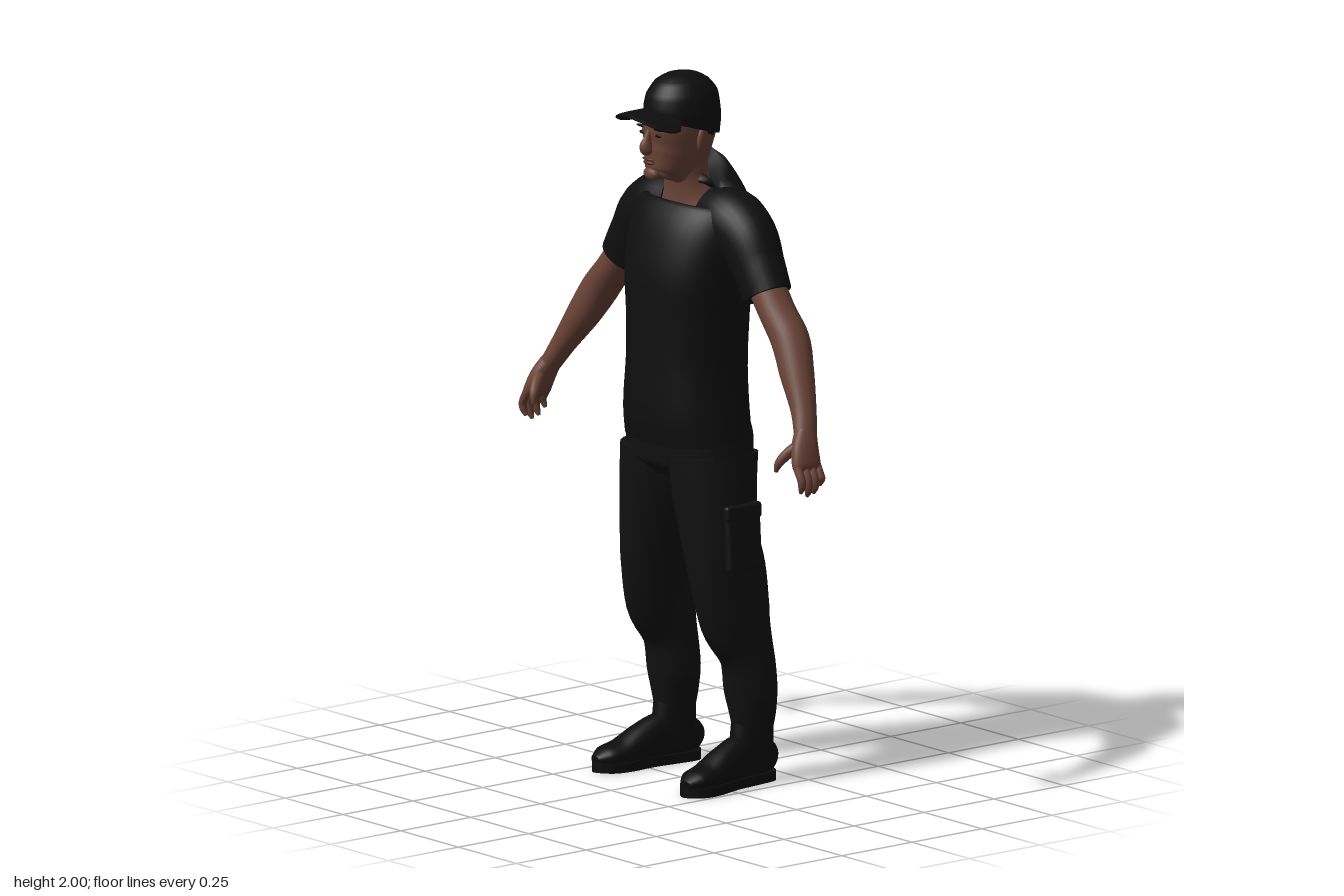
import * as THREE from 'three';
import { RoundedBoxGeometry } from 'three/addons/geometries/RoundedBoxGeometry.js';

const mat = (name, color) => Object.assign(new THREE.MeshStandardMaterial({ color }), { name });
const X = new THREE.Vector3(1, 0, 0), Y = new THREE.Vector3(0, 1, 0), Z = new THREE.Vector3(0, 0, 1);

// Smooth skin over cross-sections [x, y, z, radiusA, radiusB, tilt]; tilt lowers the radiusB side.
function loft(secs, { n = 28, steps = 5, up = Z, pow = 2, arc = null } = {}) {
  const path = new THREE.CatmullRomCurve3(secs.map(s => new THREE.Vector3(s[0], s[1], s[2])));
  const size = new THREE.CatmullRomCurve3(secs.map(s => new THREE.Vector3(s[3], s[4], s[5] || 0)));
  const rows = (secs.length - 1) * steps, pos = [], idx = [];
  const cols = arc ? n + 1 : n;
  const [t0, t1] = arc || [0, Math.PI * 2];
  const round = v => Math.sign(v) * Math.abs(v) ** (2 / pow);
  for (let i = 0; i <= rows; i++) {
    const p = path.getPoint(i / rows), r = size.getPoint(i / rows), d = path.getTangent(i / rows);
    const a = d.clone().cross(up).normalize(), b = a.clone().cross(d);
    for (let j = 0; j < cols; j++) {
      const t = t0 + (t1 - t0) * j / n, c = round(Math.cos(t)), s = round(Math.sin(t));
      const v = p.clone().addScaledVector(a, c * r.x).addScaledVector(b, s * r.y);
      pos.push(v.x, v.y - r.z * s, v.z);
    }
  }
  for (let i = 0; i < rows; i++) for (let j = 0; j < n; j++) {
    const k = (j + 1) % cols, a = i * cols + j, b = i * cols + k;
    idx.push(a, a + cols, b, b, a + cols, b + cols);
  }
  // Flat end caps with their own corners
  if (!arc) for (const end of [0, rows]) {
    const base = pos.length / 3, mid = [0, 0, 0];
    for (let j = 0; j < n; j++) for (let k = 0; k < 3; k++) {
      const v = pos[(end * n + j) * 3 + k];
      pos.push(v);
      mid[k] += v / n;
    }
    pos.push(...mid);
    for (let j = 0; j < n; j++) {
      const a = base + j, b = base + (j + 1) % n;
      idx.push(base + n, end ? b : a, end ? a : b);
    }
  }
  const g = new THREE.BufferGeometry();
  g.setAttribute('position', new THREE.Float32BufferAttribute(pos, 3));
  g.setIndex(idx);
  g.computeVertexNormals();
  return g;
}

export function createModel() {
  const skin = mat('skin', 0x6a4336), lipSkin = mat('lips', 0x55322a);
  const shirt = mat('shirt black', 0x0f0f10), cloth = mat('trouser black', 0x111112);
  const leather = mat('boot black', 0x0c0c0c), capCloth = mat('cap black', 0x0d0d0e), dark = mat('hair black', 0x080707);
  const root = new THREE.Group();
  const add = (name, geo, m, parent = root) => {
    const mesh = new THREE.Mesh(geo, m);
    mesh.name = name;
    parent.add(mesh);
    return mesh;
  };
  const blob = (name, m, p, s) => {
    const mesh = add(name, new THREE.SphereGeometry(1, 20, 14), m);
    mesh.position.set(...p);
    mesh.scale.set(...s);
    return mesh;
  };
  const flip = (secs, s) => secs.map(([x, ...rest]) => [x * s, ...rest]);

  // Shirt body and trouser seat
  add('shirtBody', loft([
    [0, 0.975, -0.027, 0.198, 0.143], [0, 1.05, -0.02, 0.188, 0.15], [0, 1.2, -0.022, 0.172, 0.152],
    [0, 1.32, -0.025, 0.177, 0.153], [0, 1.43, -0.028, 0.19, 0.153], [0, 1.53, -0.04, 0.2, 0.14],
    [0, 1.6, -0.055, 0.197, 0.12], [0, 1.65, -0.062, 0.165, 0.095, 0.012],
    [0, 1.685, -0.048, 0.105, 0.078, 0.03], [0, 1.68, -0.04, 0.075, 0.062, 0.03],
  ], { n: 40, pow: 2.3 }), shirt);
  add('trouserSeat', loft([
    [0, 0.86, -0.027, 0.12, 0.09], [0, 0.9, -0.03, 0.2, 0.135],
    [0, 0.97, -0.032, 0.197, 0.146], [0, 1.03, -0.027, 0.18, 0.135],
  ], { n: 36, pow: 2.3 }), cloth);

  // Neck and head
  add('neck', loft([
    [0, 1.63, -0.035, 0.1, 0.075, 0.025], [0, 1.675, -0.027, 0.074, 0.066, 0.02],
    [0, 1.72, -0.018, 0.062, 0.062], [0, 1.8, -0.01, 0.062, 0.07],
  ]), skin);
  add('head', loft([
    [0, 1.702, 0.05, 0.03, 0.045, 0.008], [0, 1.715, 0.04, 0.05, 0.074, 0.008], [0, 1.735, 0.033, 0.06, 0.085, 0.005],
    [0, 1.765, 0.022, 0.07, 0.096], [0, 1.8, 0.012, 0.077, 0.103], [0, 1.85, 0.005, 0.084, 0.112], [0, 1.91, 0, 0.083, 0.1],
  ], { pow: 2.2 }), skin);
  add('nose', loft([
    [0, 1.786, 0.113, 0.011, 0.01], [0, 1.795, 0.122, 0.017, 0.018], [0, 1.806, 0.124, 0.015, 0.02],
    [0, 1.825, 0.118, 0.01, 0.014], [0, 1.85, 0.112, 0.008, 0.008],
  ], { n: 16 }), skin);
  blob('upperLip', lipSkin, [0, 1.768, 0.115], [0.025, 0.005, 0.008]);
  blob('lowerLip', lipSkin, [0, 1.758, 0.114], [0.022, 0.006, 0.009]);
  blob('chin', skin, [0, 1.726, 0.105], [0.028, 0.018, 0.016]);
  add('napeHair', loft([
    [0, 1.755, -0.058, 0.014, 0.02], [0, 1.785, -0.047, 0.045, 0.047],
    [0, 1.82, -0.038, 0.073, 0.065], [0, 1.86, -0.03, 0.088, 0.08],
  ]), dark);

  // Cap
  add('capCrown', loft([
    [0, 1.848, -0.005, 0.096, 0.108, -0.032], [0, 1.89, -0.005, 0.1, 0.112, -0.012], [0, 1.94, -0.005, 0.092, 0.104],
    [0, 1.975, -0.005, 0.07, 0.079], [0, 1.993, -0.005, 0.04, 0.046], [0, 1.999, -0.005, 0.006, 0.007],
  ], { n: 36 }), capCloth);
  const brim = [];
  for (let i = -6; i <= 6; i++) {
    const u = i / 6, front = 0.075 + 0.124 * Math.sqrt(1 - 0.97 * u * u);
    brim.push([u * 0.088, 1.901 - 0.03 * u * u, (front + 0.05) / 2, 0.007, (front - 0.05) / 2]);
  }
  add('capBrim', loft(brim, { n: 20, steps: 2, pow: 2.5 }), capCloth);
  blob('capButton', capCloth, [0, 1.996, -0.005], [0.01, 0.004, 0.01]);

  const armSecs = [
    [0.29, 1.45, -0.06, 0.05, 0.055], [0.35, 1.375, -0.055, 0.048, 0.054], [0.41, 1.305, -0.053, 0.052, 0.055],
    [0.46, 1.225, -0.035, 0.047, 0.049], [0.52, 1.13, -0.01, 0.033, 0.037], [0.555, 1.065, 0.012, 0.025, 0.034],
  ];
  for (const s of [1, -1]) {
    const side = s > 0 ? 'left' : 'right';
    const part = (name, secs, m, opts) => add(side + name, loft(flip(secs, s), opts), m);

    // Face details
    blob(side + 'Eye', dark, [s * 0.034, 1.838, 0.109], [0.012, 0.005, 0.004]);
    blob(side + 'Brow', dark, [s * 0.036, 1.856, 0.111], [0.021, 0.004, 0.004]);
    blob(side + 'Ear', skin, [s * 0.086, 1.822, -0.006], [0.011, 0.036, 0.021]).rotation.set(-0.15, s * 0.35, 0);

    // Sleeve and arm
    part('Sleeve', [
      [0.07, 1.6, -0.065, 0.085, 0.08], [0.15, 1.585, -0.065, 0.097, 0.092], [0.215, 1.55, -0.063, 0.09, 0.083],
      [0.262, 1.487, -0.06, 0.078, 0.073], [0.305, 1.413, -0.057, 0.076, 0.066],
    ], shirt);
    part('Arm', armSecs, skin);

    // Hand
    part('Palm', [
      [0.55, 1.08, 0.008, 0.024, 0.032], [0.568, 1.035, 0.025, 0.025, 0.042],
      [0.583, 0.995, 0.032, 0.021, 0.046], [0.588, 0.98, 0.033, 0.012, 0.042],
    ], skin, { pow: 2.4 });
    for (let i = 0; i < 4; i++) {
      const z = -0.003 + 0.023 * i, drop = [0.025, 0.006, 0, 0.012][i];
      part('Finger' + (i + 1), [
        [0.58, 1.0, z, 0.013, 0.012], [0.603, 0.96, z, 0.012, 0.012],
        [0.603, 0.93 + drop, z - 0.002, 0.011, 0.011], [0.594, 0.911 + drop, z - 0.004, 0.005, 0.005],
      ], skin, { n: 12 });
    }
    part('Thumb', [
      [0.562, 1.055, 0.03, 0.016, 0.018], [0.543, 1.025, 0.068, 0.015, 0.016],
      [0.53, 0.998, 0.088, 0.012, 0.012], [0.524, 0.975, 0.093, 0.005, 0.006],
    ], skin, { n: 12 });

    // Trouser leg with side pocket
    part('TrouserLeg', [
      [0.168, 0.14, -0.118, 0.045, 0.06], [0.168, 0.2, -0.118, 0.058, 0.07], [0.166, 0.27, -0.112, 0.074, 0.075],
      [0.166, 0.36, -0.1, 0.068, 0.08], [0.16, 0.47, -0.063, 0.07, 0.112], [0.147, 0.6, -0.045, 0.083, 0.12],
      [0.133, 0.7, -0.03, 0.096, 0.115], [0.111, 0.85, -0.027, 0.105, 0.128], [0.105, 0.93, -0.03, 0.095, 0.14],
    ], cloth);
    const pocket = add(side + 'Pocket', new RoundedBoxGeometry(0.03, 0.18, 0.12, 3, 0.012), cloth);
    pocket.position.set(s * 0.218, 0.71, -0.04);
    pocket.rotation.z = s * 0.06;
    const flap = add(side + 'PocketFlap', new RoundedBoxGeometry(0.032, 0.045, 0.126, 3, 0.01), cloth);
    flap.position.set(s * 0.215, 0.785, -0.04);
    flap.rotation.z = s * 0.06;

    // Boot, toes turned slightly out
    part('BootShaft', [
      [0.167, 0.04, -0.11, 0.045, 0.07], [0.168, 0.1, -0.113, 0.046, 0.07], [0.168, 0.19, -0.118, 0.048, 0.064],
    ], leather);
    const foot = new THREE.Group();
    foot.name = side + 'Foot';
    foot.position.x = s * 0.179;
    foot.rotation.y = s * 0.11;
    root.add(foot);
    add(side + 'BootUpper', loft([
      [0, 0.045, -0.19, 0.024, 0.03], [0, 0.062, -0.165, 0.038, 0.052], [0, 0.075, -0.08, 0.043, 0.068],
      [0, 0.065, -0.01, 0.047, 0.055], [0, 0.045, 0.06, 0.052, 0.037], [0, 0.04, 0.11, 0.046, 0.028], [0, 0.033, 0.145, 0.02, 0.013],
    ], { up: Y, pow: 2.3 }), leather, foot);
    const outline = [[0, -0.197], [0.036, -0.175], [0.042, -0.1], [0.042, -0.02], [0.054, 0.06], [0.046, 0.115], [0, 0.152]];
    const ring = [...outline, ...outline.slice(1, -1).reverse().map(([x, z]) => [-x, z])];
    const curve = new THREE.CatmullRomCurve3(ring.map(([x, z]) => new THREE.Vector3(x, z, 0)), true);
    const shape = new THREE.Shape(curve.getPoints(48).slice(0, -1).map(p => new THREE.Vector2(p.x, p.y)));
    const sole = new THREE.ExtrudeGeometry(shape, { depth: 0.027, bevelEnabled: false }).rotateX(Math.PI / 2).translate(0, 0.027, 0);
    add(side + 'Sole', sole, leather, foot);
  }

  // Dark patch on the back of the right forearm
  const patch = flip(armSecs.slice(2, 5), -1).map(([x, y, z, a, b]) => [x, y, z, a + 0.004, b + 0.004]);
  add('forearmPatch', loft(patch, { n: 12, arc: [-Math.PI * 0.72, -Math.PI * 0.3] }), dark);

  return root;
}
